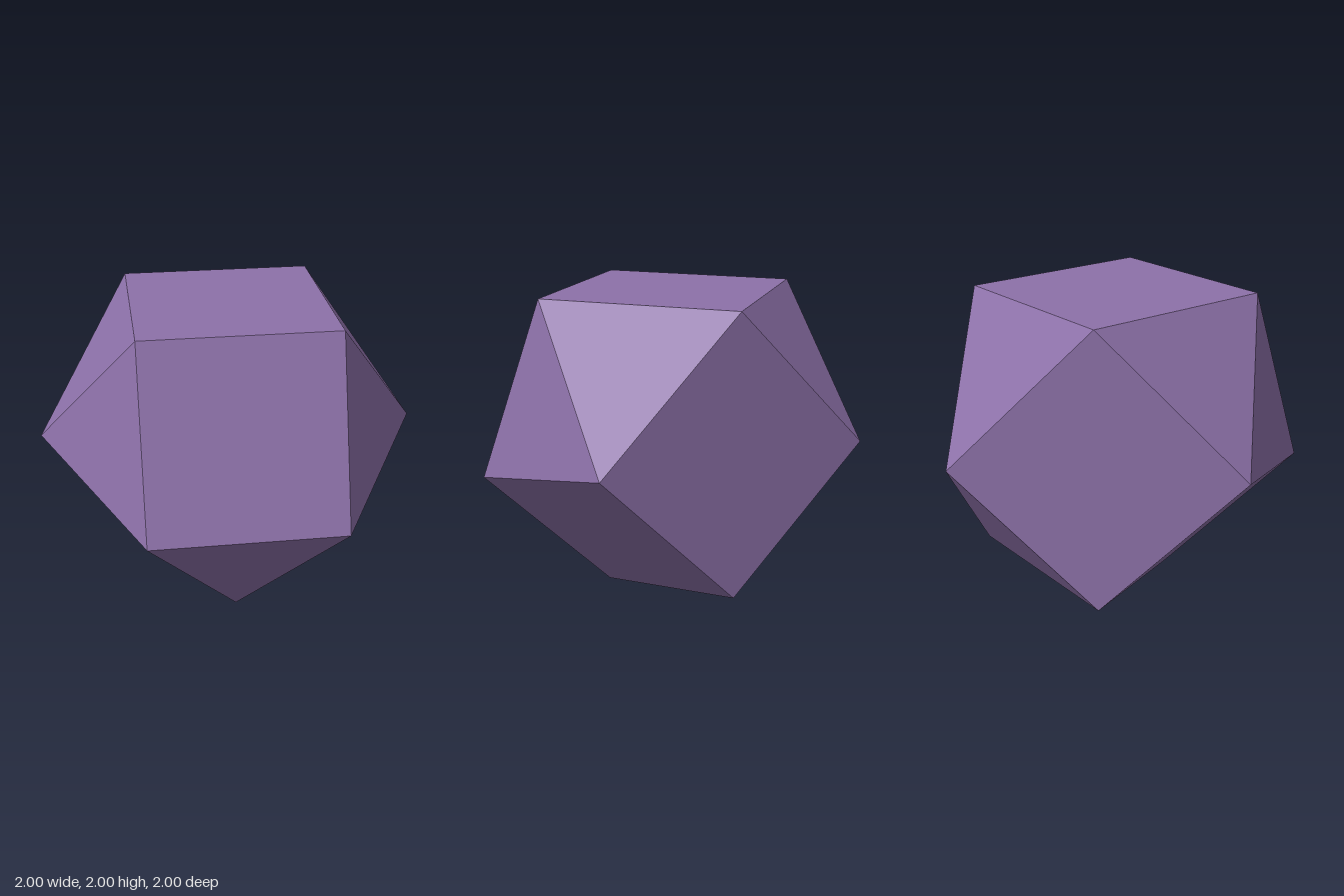
import * as THREE from 'three';
import { ConvexGeometry } from 'three/addons/geometries/ConvexGeometry.js';

// Triangular orthobicupola: two mirrored triangular cupolas sharing a hexagon.
export function createModel() {
  const group = new THREE.Group();
  group.name = 'orthobicupola';
  const purple = new THREE.MeshStandardMaterial({ color: 0x8d71a9 });
  purple.name = 'purple';

  const a = 6 / 7; // half the diagonal of a square face
  const points = [];
  const cycle = (p, q, r) => {
    for (const [x, y, z] of [[p, q, r], [r, p, q], [q, r, p]]) {
      // the symmetry axis runs along (1, 1, -1)
      points.push(new THREE.Vector3(x + 1 / 7, y + 8 / 7, -z - 1 / 7));
    }
  };
  cycle(a, a, 0); // upper triangle
  cycle(a, -a, 0); // shared hexagon
  cycle(-a, a, 0);
  cycle(-a / 3, -a / 3, -4 * a / 3); // lower triangle, mirrored from the upper

  const solid = new THREE.Mesh(new ConvexGeometry(points), purple);
  solid.name = 'solid';
  group.add(solid);
  return group;
}
